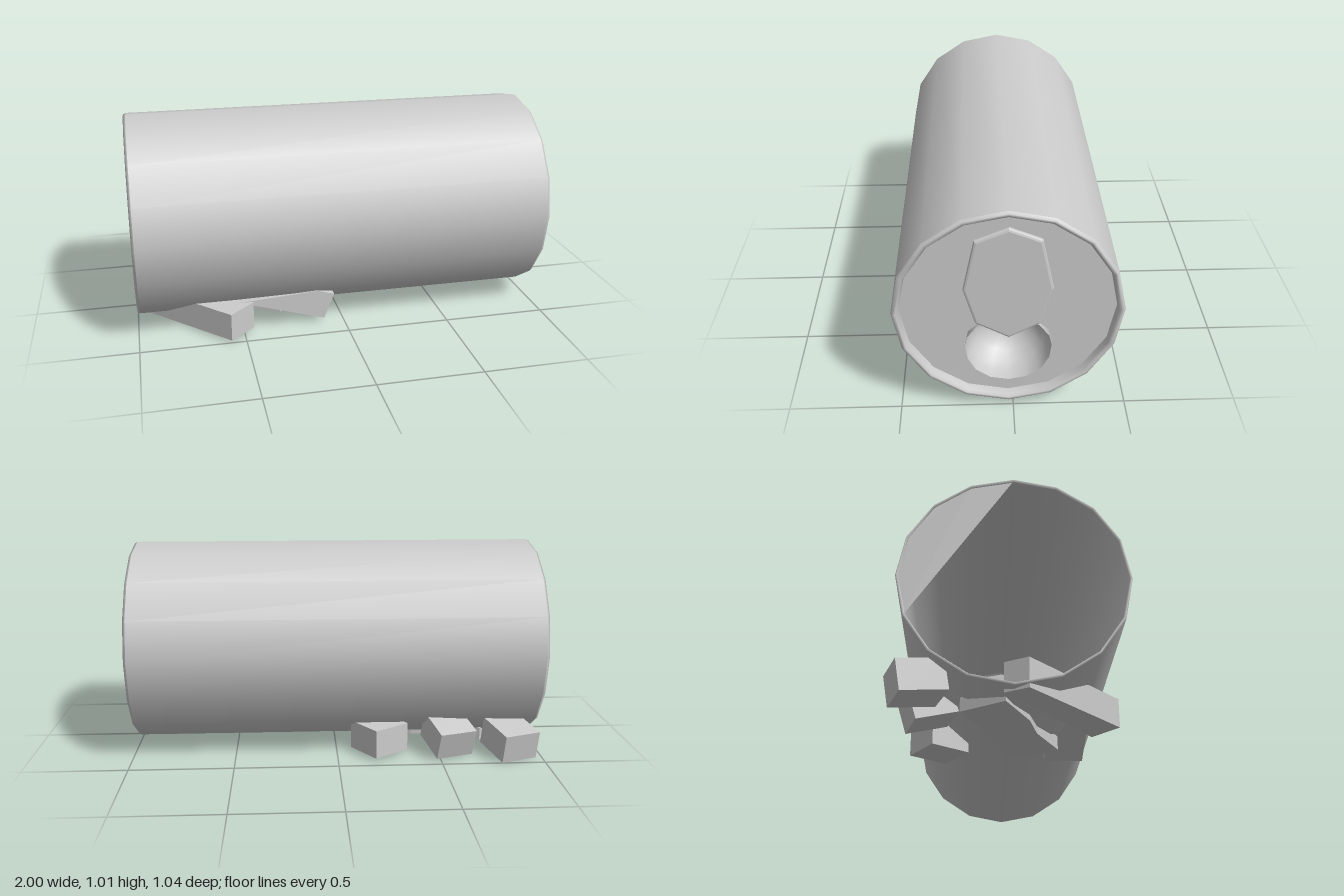
import * as THREE from 'three';

const R = 0.497, CY = 0.524, CZ = 0.022, SIDES = 16;
const smooth = new THREE.MeshStandardMaterial({ color: 0xcccccc, side: THREE.DoubleSide });
const faceted = new THREE.MeshStandardMaterial({ color: 0xcccccc, side: THREE.DoubleSide, flatShading: true });

function add(parent, name, geometry, material) {
  const mesh = new THREE.Mesh(geometry, material);
  mesh.name = name;
  parent.add(mesh);
  return mesh;
}

// profile points are [radius, x] around the can's long axis
function turned(parent, name, points) {
  const g = new THREE.LatheGeometry(points.map(p => new THREE.Vector2(p[0], p[1])), SIDES);
  g.rotateZ(-Math.PI / 2);
  return add(parent, name, g, smooth);
}

// outline in [z, y] as seen on the end of the can, turned to face +x
function endShape(points) {
  return new THREE.Shape(points.map(([z, y]) => new THREE.Vector2(-(z - CZ), y - CY)));
}

// polygon through the can's corners number from..to, counted from the -z side upwards
function cornerShape(radius, from, to) {
  const points = [];
  for (let i = from; i <= to; i++) {
    const a = i / SIDES * Math.PI * 2;
    points.push(new THREE.Vector2(radius * Math.cos(a), radius * Math.sin(a)));
  }
  return new THREE.Shape(points);
}

// flat sheet across the can at x
function sheet(parent, name, shape, x) {
  const g = new THREE.ShapeGeometry(shape);
  g.rotateY(Math.PI / 2);
  g.translate(x, 0, 0);
  return add(parent, name, g, smooth);
}

// upright slab over a ground outline of [x, z] corners
function slab(parent, name, outline, bottom, top) {
  const shape = new THREE.Shape(outline.map(([x, z]) => new THREE.Vector2(x, -z)));
  const g = new THREE.ExtrudeGeometry(shape, { depth: top - bottom, bevelEnabled: false });
  g.rotateX(-Math.PI / 2);
  g.translate(0, bottom, 0);
  return add(parent, name, g, faceted);
}

export function createModel() {
  const model = new THREE.Group();
  const can = new THREE.Group();
  can.name = 'can';
  can.position.set(0, CY, CZ);
  model.add(can);

  // sixteen-sided wall with a rolled lip at each end
  turned(can, 'wall', [[R, -0.988], [R, 0.988]]);
  turned(can, 'topRim', [[R, 0.988], [R - 0.008, 1], [R - 0.02, 1], [R - 0.029, 0.988], [R - 0.032, 0.955]]);
  turned(can, 'bottomRim', [[R, -0.988], [R - 0.006, -1], [R - 0.012, -0.988]]);

  // remaining piece of the torn bottom
  sheet(can, 'bottomPanel', cornerShape(R - 0.004, -1, 4), -0.988);

  // top panel with the drinking hole
  const panel = cornerShape(R - 0.031, 0, SIDES - 1);
  const hole = [[0.02, 0.115], [0.1, 0.13], [0.165, 0.175], [0.2, 0.24], [0.213, 0.32], [0.195, 0.395],
    [0.155, 0.43], [0.02, 0.46], [-0.115, 0.43], [-0.155, 0.395], [-0.17, 0.32], [-0.16, 0.24],
    [-0.125, 0.175], [-0.06, 0.13]];
  panel.holes.push(endShape(hole));
  sheet(can, 'topPanel', panel, 0.955);

  // rounded hollow behind the hole
  const bowl = [];
  for (let i = 0; i <= 6; i++) {
    const a = i / 6 * Math.PI / 2;
    bowl.push([Math.sin(a), -Math.cos(a)]);
  }
  const hollow = turned(can, 'holeHollow', bowl);
  hollow.scale.set(0.2, 0.18, 0.195);
  hollow.position.set(0.954, 0.288 - CY, 0);

  // pull tab with a soft edge
  const tab = endShape([[0.02, 0.92], [0.153, 0.865], [0.202, 0.63], [0.155, 0.463], [0.02, 0.388],
    [-0.108, 0.457], [-0.158, 0.63], [-0.11, 0.865]]);
  const tabGeo = new THREE.ExtrudeGeometry(tab,
    { depth: 0.008, bevelThickness: 0.01, bevelSize: 0.011, bevelSegments: 2 });
  tabGeo.rotateY(Math.PI / 2);
  tabGeo.translate(0.967, 0, 0);
  add(can, 'pullTab', tabGeo, faceted);

  // broken planks under the can
  slab(model, 'longPlank', [[-0.45, 0.39], [-0.57, 0.5], [-0.985, 0.08], [-0.93, -0.02]], 0.02, 0.155);
  slab(model, 'splinteredPlank', [[-0.18, 0.1], [-0.3, 0.25], [-0.5, 0.14], [-0.65, 0.1], [-0.86, -0.01],
    [-0.74, -0.2], [-0.57, -0.11], [-0.4, -0.09], [-0.25, -0.03]], 0.015, 0.08);

  // tapering wedge at the front
  const wedge = new THREE.Shape([[-0.1, 0.03], [-0.05, 0.155], [-0.13, 0.18], [-0.52, 0.155]]
    .map(p => new THREE.Vector2(...p)));
  const wedgeGeo = new THREE.ExtrudeGeometry(wedge, { depth: 0.185, bevelEnabled: false });
  wedgeGeo.translate(0, 0, 0.2);
  add(model, 'wedge', wedgeGeo, faceted);

  // loose blocks behind: position, size, then tilt and turn
  const blocks = [
    [[-0.21, 0.09, -0.305], [0.2, 0.14, 0.2], 0, 0.6],
    [[-0.55, 0.11, -0.345], [0.19, 0.14, 0.2], -0.3, 0.3],
    [[-0.85, 0.095, -0.38], [0.19, 0.14, 0.21], -0.17, 0.34],
  ];
  for (const [position, size, tilt, turn] of blocks) {
    const block = add(model, 'block', new THREE.BoxGeometry(...size), faceted);
    block.position.set(...position);
    block.rotation.set(tilt, turn, 0, 'YXZ');
  }
  return model;
}
